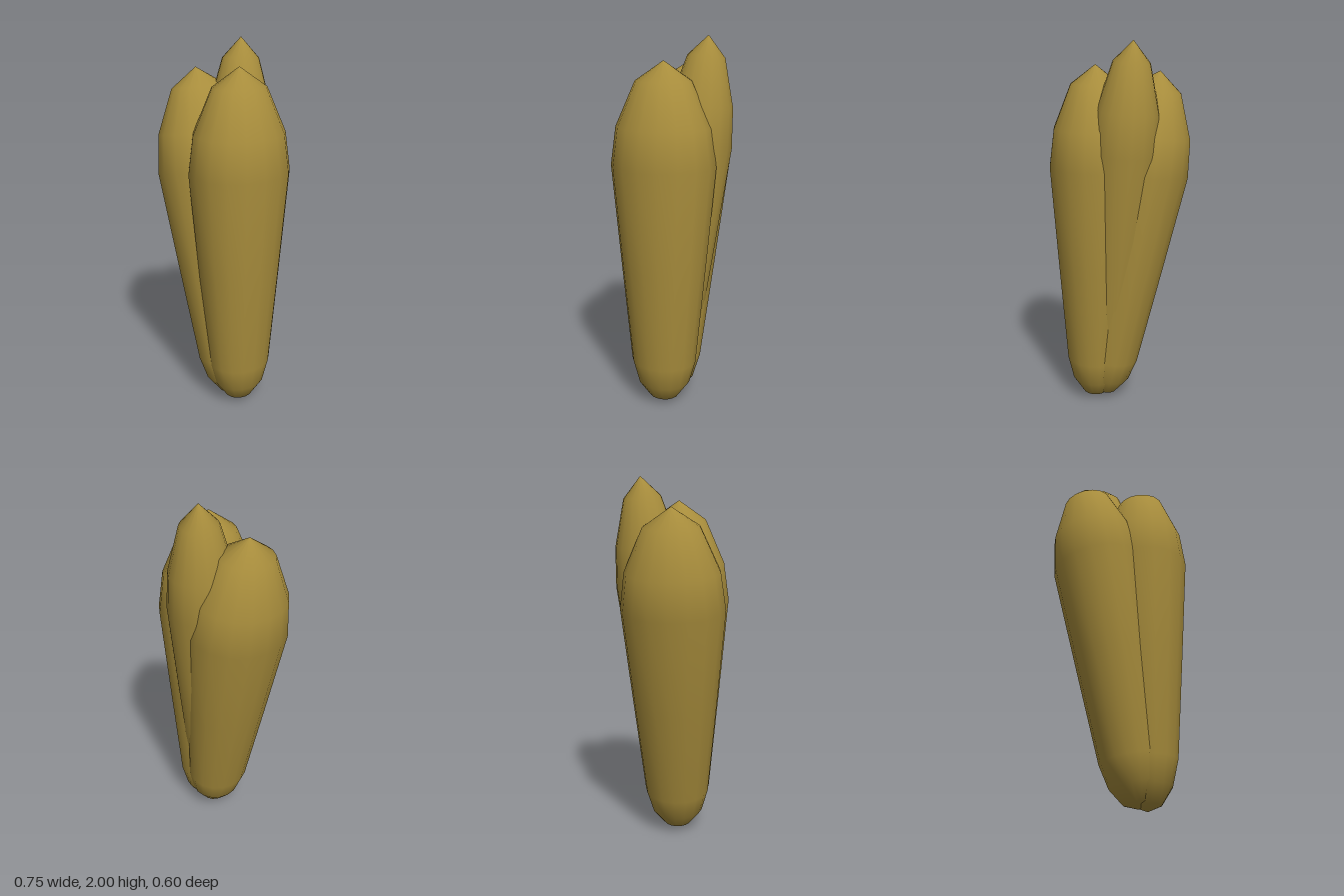
import * as THREE from 'three';

// Bud outline as [radius, height], from rounded base to pointed tip
const PROFILE = [
  [0, 0], [0.08, 0.03], [0.145, 0.12], [0.18, 0.25], [0.23, 0.8],
  [0.278, 1.35], [0.25, 1.55], [0.147, 1.78], [0, 1.88],
];
const SIDES = 17;

// One bud running from base to tip, slightly oval in cross-section
function makeBud(name, base, tip, radiusX, radiusZ, material) {
  const axis = new THREE.Vector3(...tip).sub(new THREE.Vector3(...base));
  const points = PROFILE.map(([r, y]) => new THREE.Vector2(r, y));
  const geometry = new THREE.LatheGeometry(points, SIDES, -Math.PI / 2);
  geometry.scale(radiusX, axis.length() / 1.88, radiusZ);
  const bud = new THREE.Mesh(geometry, material);
  bud.name = name;
  bud.position.set(...base);
  bud.quaternion.setFromUnitVectors(new THREE.Vector3(0, 1, 0), axis.normalize());
  return bud;
}

export function createModel() {
  const group = new THREE.Group();
  group.name = 'budCluster';
  const material = new THREE.MeshStandardMaterial({ color: 0xa88d3c });

  group.add(
    makeBud('leftBud', [0.14, 0, 0.025], [0.125, 1.88, 0.025], 0.89, 1, material),
    makeBud('rightBud', [0.093, 0.01, 0.025], [-0.215, 1.847, 0.02], 0.89, 1, material),
    makeBud('backBud', [0.09, 0.02, 0.005], [-0.055, 2, -0.157], 0.65, 0.67, material),
  );
  return group;
}
